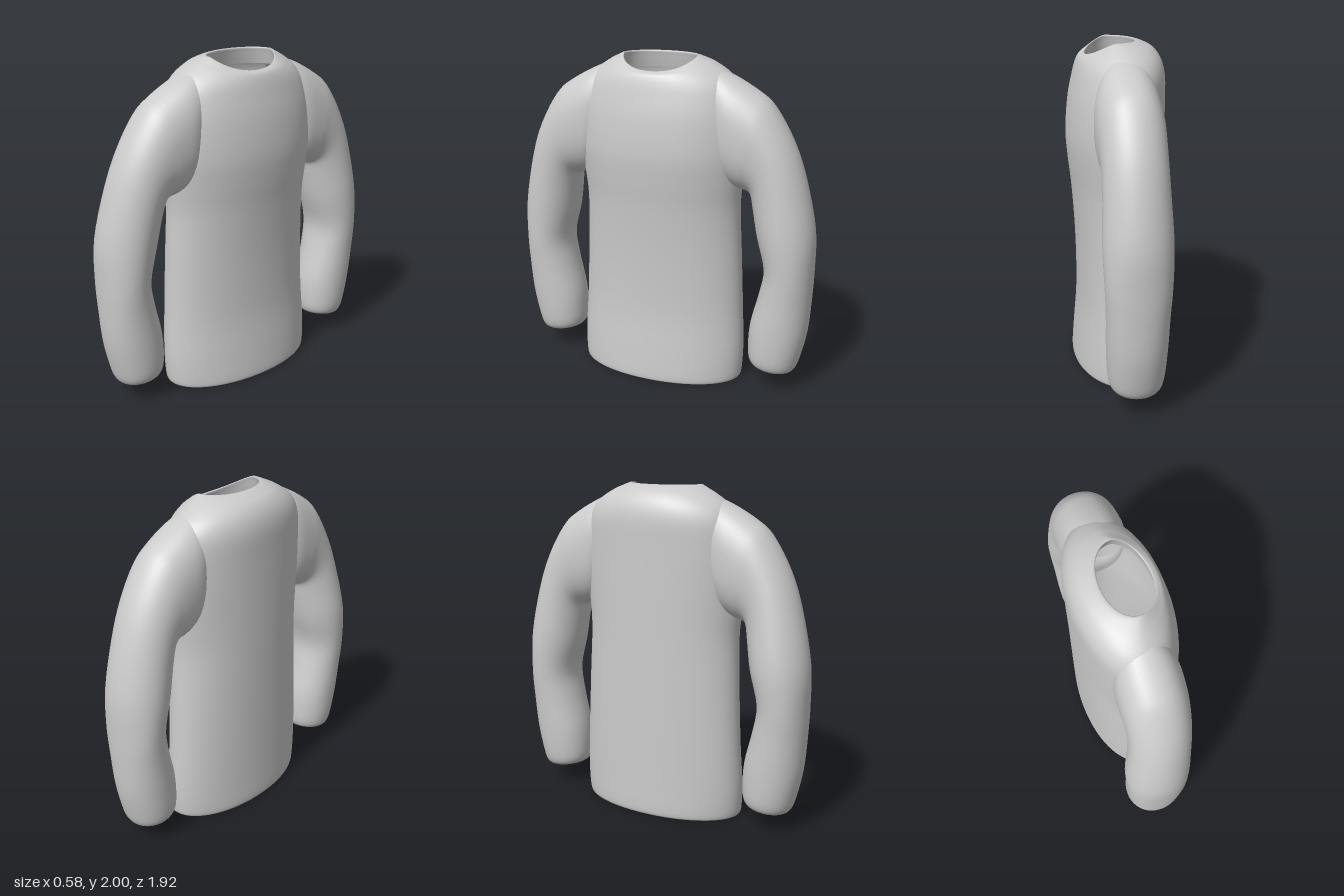
import * as THREE from 'three';

const material = new THREE.MeshStandardMaterial({ color: 0xcccccc, side: THREE.DoubleSide });

// Smooth (Catmull-Rom) resampling of a table of section parameters
function resample(rows, steps) {
  const out = [];
  const at = (i) => rows[Math.min(rows.length - 1, Math.max(0, i))];
  for (let i = 0; i < rows.length - 1; i++) {
    for (let s = 0; s < steps; s++) {
      const t = s / steps;
      out.push(rows[i].map((b, k) => {
        const a = at(i - 1)[k], c = at(i + 1)[k], d = at(i + 2)[k];
        return b + 0.5 * t * (c - a + t * (2 * a - 5 * b + 4 * c - d + t * (3 * (b - c) + d - a)));
      }));
    }
  }
  out.push(rows[rows.length - 1]);
  return out;
}

// Skin closed loops: place(section, angle) gives the point [x, y, z]
function loft(name, sections, segments, place) {
  const positions = [], index = [];
  sections.forEach((section, r) => {
    for (let i = 0; i < segments; i++) {
      positions.push(...place(section, (i / segments) * Math.PI * 2));
      if (r === 0) continue;
      const j = (i + 1) % segments, a = (r - 1) * segments, b = r * segments;
      index.push(a + i, b + i, a + j, a + j, b + i, b + j);
    }
  });
  const geometry = new THREE.BufferGeometry();
  geometry.setAttribute('position', new THREE.Float32BufferAttribute(positions, 3));
  geometry.setIndex(index);
  geometry.computeVertexNormals();
  const mesh = new THREE.Mesh(geometry, material);
  mesh.name = name;
  return mesh;
}

const fuller = (v, p) => Math.sign(v) * Math.abs(v) ** p;

// Body rows: height, back x, front x, half width in z, dip of the front neckline
const bodyRows = [
  [0.13, -0.265, 0.235, 0.505, 0],
  [0.02, -0.265, 0.24, 0.505, 0],
  [0.0, -0.28, 0.255, 0.518, 0],
  [0.04, -0.29, 0.26, 0.53, 0],
  [0.2, -0.29, 0.248, 0.535, 0],
  [0.45, -0.29, 0.23, 0.522, 0],
  [0.8, -0.29, 0.235, 0.505, 0],
  [1.1, -0.29, 0.255, 0.492, 0],
  [1.28, -0.29, 0.275, 0.505, 0],
  [1.45, -0.29, 0.287, 0.52, 0],
  [1.65, -0.29, 0.272, 0.515, 0],
  [1.8, -0.29, 0.245, 0.485, 0.01],
  [1.89, -0.272, 0.228, 0.425, 0.03],
  [1.95, -0.235, 0.212, 0.34, 0.05],
  [1.98, -0.19, 0.195, 0.28, 0.065],
  [2.0, -0.125, 0.172, 0.228, 0.08],
  [1.97, -0.125, 0.175, 0.232, 0.08],
  [1.9, -0.14, 0.185, 0.25, 0.08],
];

// Sleeve rows: outer z, outer y, inner z, inner y, half depth in x, roundness power
const sleeveRows = [
  [0.32, 1.94, 0.36, 1.36, 0.15, 0.85],
  [0.43, 1.9, 0.43, 1.28, 0.188, 0.85],
  [0.58, 1.82, 0.5, 1.245, 0.192, 0.88],
  [0.68, 1.74, 0.54, 1.235, 0.187, 0.92],
  [0.8, 1.55, 0.568, 1.215, 0.183, 0.97],
  [0.885, 1.33, 0.583, 1.14, 0.186, 1],
  [0.955, 1.02, 0.615, 0.97, 0.195, 1],
  [0.96, 0.77, 0.667, 0.77, 0.187, 0.95],
  [0.955, 0.58, 0.64, 0.6, 0.178, 0.95],
  [0.94, 0.38, 0.592, 0.4, 0.173, 0.95],
  [0.905, 0.21, 0.583, 0.24, 0.163, 0.95],
  [0.88, 0.135, 0.594, 0.165, 0.146, 0.95],
  [0.85, 0.11, 0.62, 0.138, 0.115, 1],
  [0.815, 0.116, 0.65, 0.14, 0.085, 1],
  [0.81, 0.16, 0.65, 0.18, 0.082, 1],
  [0.82, 0.27, 0.65, 0.28, 0.09, 1],
];

export function createModel() {
  const group = new THREE.Group();
  group.name = 'sweater';

  // Body from inner hem, round the hem and up to the neckline
  group.add(loft('body', resample(bodyRows, 4), 72, ([y, back, front, half, dip], a) => {
    const c = Math.cos(a), s = Math.sin(a);
    const height = y - dip * Math.max(0, c) ** 1.3;
    return [
      (back + front) / 2 + ((front - back) / 2) * c,
      Math.min(2, Math.max(0, height)),
      half * fuller(s, 0.97),
    ];
  }));

  // Sleeves: the one at +z hangs slightly further back
  for (const side of [1, -1]) {
    const name = side > 0 ? 'sleeveA' : 'sleeveB';
    group.add(loft(name, resample(sleeveRows, 4), 40, ([oz, oy, iz, iy, depth, p], a) => {
      const c = fuller(Math.cos(a), p), s = fuller(Math.sin(a), p);
      const drop = THREE.MathUtils.smoothstep(1.9 - (oy + iy) / 2, 0.3, 1);
      const shift = side > 0 ? -0.012 - 0.05 * drop : -0.008;
      return [
        shift + side * depth * s,
        (oy + iy) / 2 + ((oy - iy) / 2) * c,
        side * ((oz + iz) / 2 + ((oz - iz) / 2) * c),
      ];
    }));
  }
  return group;
}
